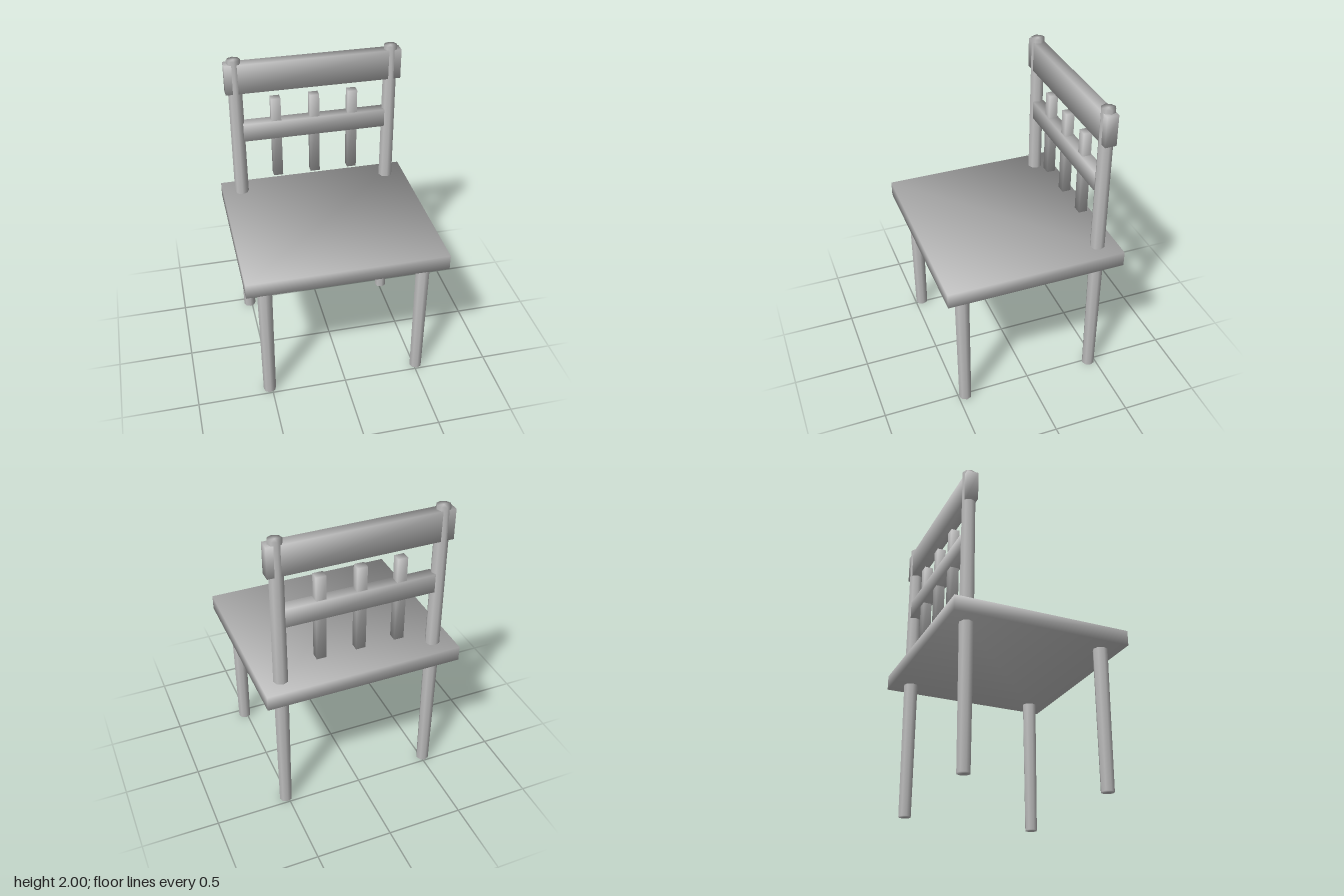
import * as THREE from 'three';

const grey = new THREE.MeshStandardMaterial({ color: 0xc0c0c0 });
grey.name = 'grey';

// Box between two corners, with normals blended across its corners
function softBox(name, [x0, y0, z0], [x1, y1, z1]) {
  const geo = new THREE.BoxGeometry(x1 - x0, y1 - y0, z1 - z0);
  const pos = geo.attributes.position;
  const s = 1 / Math.sqrt(3);
  for (let i = 0; i < pos.count; i++) {
    geo.attributes.normal.setXYZ(i,
      Math.sign(pos.getX(i)) * s, Math.sign(pos.getY(i)) * s, Math.sign(pos.getZ(i)) * s);
  }
  const mesh = new THREE.Mesh(geo, grey);
  mesh.position.set((x0 + x1) / 2, (y0 + y1) / 2, (z0 + z1) / 2);
  mesh.name = name;
  return mesh;
}

// Eight-sided closed pole; rings are [radius, height] from the foot up
function pole(name, x, z, rings) {
  const profile = [[0, rings[0][1]], ...rings, [0, rings[rings.length - 1][1]]];
  const geo = new THREE.LatheGeometry(profile.map(([r, y]) => new THREE.Vector2(r, y)), 8);
  const mesh = new THREE.Mesh(geo, grey);
  mesh.position.set(x, 0, z);
  mesh.name = name;
  return mesh;
}

export function createModel() {
  const chair = new THREE.Group();
  chair.name = 'chair';

  chair.add(softBox('seat', [-0.645, 0.92, -0.58], [0.645, 1.02, 0.58]));

  // Front legs stop under the seat, back posts run up to the backrest
  for (const [side, s] of [['left', 1], ['right', -1]]) {
    chair.add(pole(side + 'FrontLeg', s * 0.515, 0.453, [[0.042, 0], [0.048, 0.93]]));
    chair.add(pole(side + 'BackPost', s * 0.515, -0.453, [[0.042, 0], [0.048, 0.97], [0.045, 2]]));
  }

  // Backrest rails
  chair.add(softBox('topRail', [-0.58, 1.775, -0.49], [0.58, 1.975, -0.415]));
  chair.add(softBox('middleRail', [-0.48, 1.425, -0.49], [0.48, 1.55, -0.415]));

  // Short spindles held by the middle rail
  for (const x of [-0.258, 0, 0.258]) {
    chair.add(softBox('spindle', [x - 0.032, 1.13, -0.481], [x + 0.032, 1.71, -0.424]));
  }
  return chair;
}
